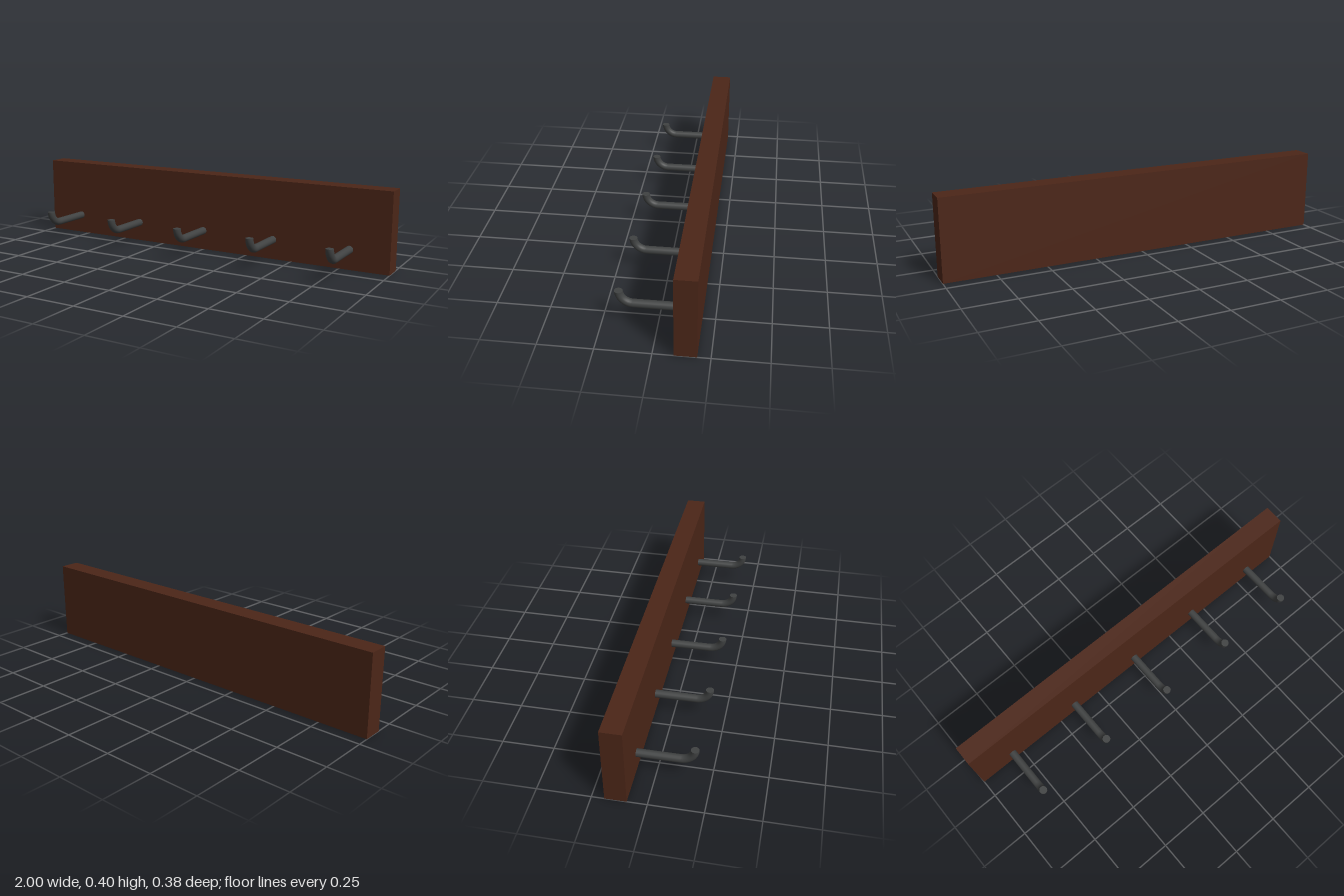
import * as THREE from 'three';

const BOARD = { width: 2, height: 0.4, depth: 0.1, z: -0.1415 };
const HOOK = { radius: 0.0195, y: 0.1, bend: 0.0635, bendZ: 0.11, sides: 16 };

export function createModel() {
  const model = new THREE.Group();
  model.name = 'hookRack';
  const wood = new THREE.MeshStandardMaterial({ color: 0x4c2618 });
  const metal = new THREE.MeshStandardMaterial({ color: 0x404242 });

  const add = (parent, name, geometry, material) => {
    const mesh = new THREE.Mesh(geometry, material);
    mesh.name = name;
    parent.add(mesh);
    return mesh;
  };

  // Wooden backboard
  add(model, 'backboard', new THREE.BoxGeometry(BOARD.width, BOARD.height, BOARD.depth), wood)
    .position.set(0, BOARD.height / 2, BOARD.z);

  // Straight peg, running from just inside the board to the bend
  const pegBack = -0.1;
  const pegLength = HOOK.bendZ - pegBack;
  const peg = new THREE.CylinderGeometry(HOOK.radius, HOOK.radius, pegLength, HOOK.sides, 1, true)
    .rotateX(Math.PI / 2)
    .translate(0, HOOK.y, pegBack + pegLength / 2);

  // Quarter-turn bend from forward to upward
  const bend = new THREE.TorusGeometry(HOOK.bend, HOOK.radius, HOOK.sides, 8, Math.PI / 2)
    .rotateZ(-Math.PI / 2)
    .rotateY(-Math.PI / 2)
    .translate(0, HOOK.y + HOOK.bend, HOOK.bendZ);

  // Flat tip closing the upturned end
  const tip = new THREE.CircleGeometry(HOOK.radius, HOOK.sides)
    .rotateX(-Math.PI / 2)
    .translate(0, HOOK.y + HOOK.bend, HOOK.bendZ + HOOK.bend);

  // Five evenly spaced hooks
  for (let i = -2; i <= 2; i++) {
    const hook = new THREE.Group();
    hook.name = `hook${i + 3}`;
    hook.position.x = i * 0.4;
    add(hook, 'peg', peg, metal);
    add(hook, 'bend', bend, metal);
    add(hook, 'tip', tip, metal);
    model.add(hook);
  }
  return model;
}
